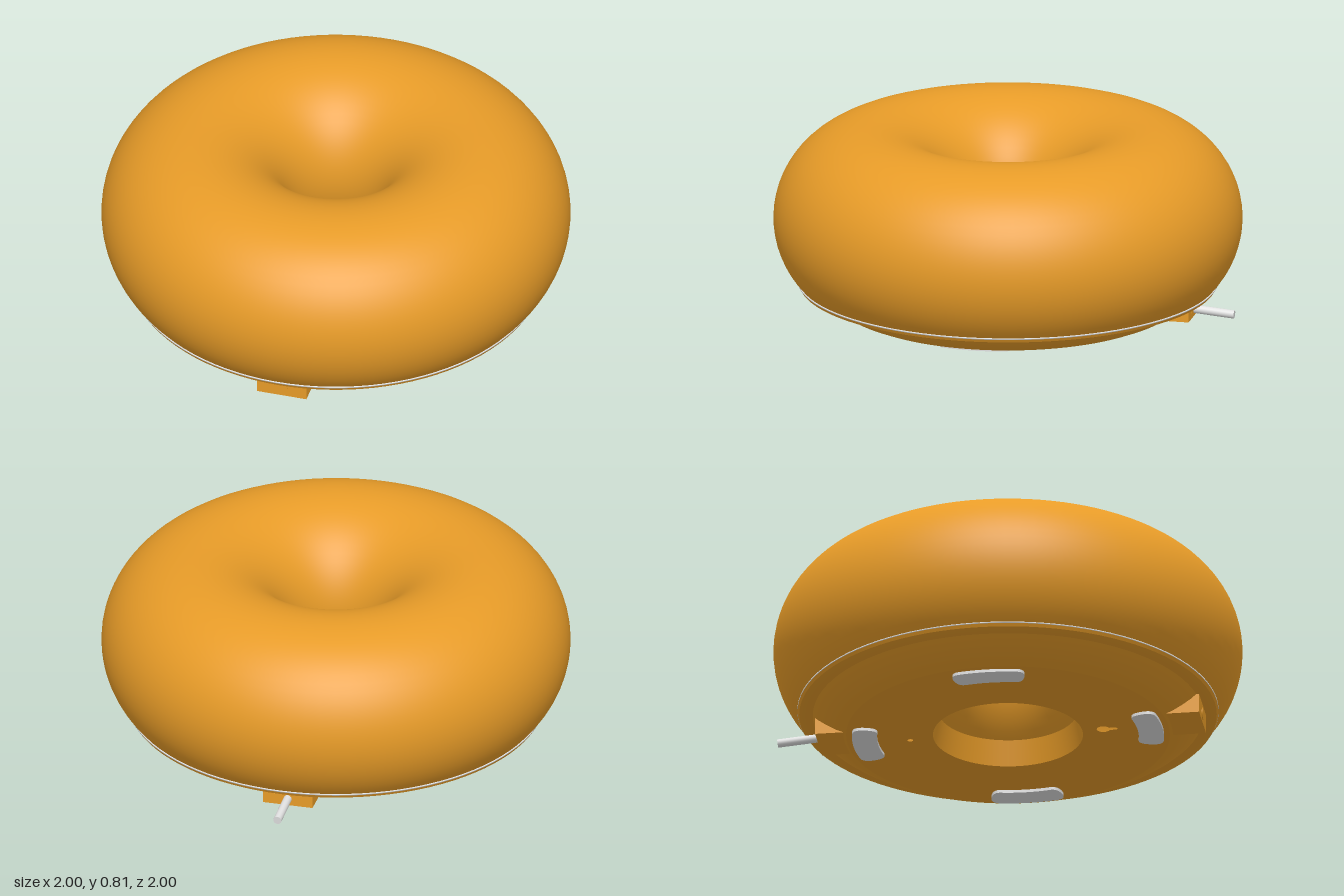
import * as THREE from 'three';
import { toCreasedNormals } from 'three/addons/utils/BufferGeometryUtils.js';

export function createModel() {
  const orange = new THREE.MeshStandardMaterial({ color: 0xe89c28, side: THREE.DoubleSide });
  orange.name = 'orange';
  const grey = new THREE.MeshStandardMaterial({ color: 0xe0e0e0 });
  grey.name = 'lightGrey';

  const model = new THREE.Group();
  model.name = 'ringLamp';
  const base = new THREE.Group();
  base.name = 'base';
  base.rotation.y = THREE.MathUtils.degToRad(4.4);
  model.add(base);

  const add = (parent, name, geometry, material, x = 0, y = 0, z = 0) => {
    const mesh = new THREE.Mesh(geometry, material);
    mesh.name = name;
    mesh.position.set(x, y, z);
    parent.add(mesh);
    return mesh;
  };
  const lathe = (points) =>
    new THREE.LatheGeometry(points.map(([x, y]) => new THREE.Vector2(x, y)), 96);

  // Ring shell: a round tube, open where it meets the base
  const R = 0.595, r = 0.405, cy = 0.4;
  const a0 = -Math.asin((cy - 0.125) / r);
  const shell = [];
  for (let i = 0; i <= 48; i++) {
    const a = a0 + (Math.PI - 2 * a0) * i / 48;
    shell.push([R + r * Math.cos(a), cy + r * Math.sin(a)]);
  }
  add(model, 'ringShell', lathe(shell), orange);

  // Thin seam between shell and base
  add(model, 'seam', lathe([[0.885, 0.121], [0.898, 0.121], [0.898, 0.127], [0.885, 0.129]]), grey);

  // Base: lip and curved underside outside, wall of the middle hole inside
  const floorY = 0.013;
  const outer = [[0.69, floorY], [0.73, 0.03], [0.775, 0.057], [0.81, 0.082], [0.832, 0.102],
    [0.87, 0.1], [0.89, 0.108], [0.897, 0.121]];
  add(base, 'baseRim', toCreasedNormals(lathe(outer), 0.5), orange);
  add(base, 'holeWall', lathe([[0.297, 0.125], [0.32, floorY]]), orange);

  // Flat underside with a keyhole in front and a small round hole at the back
  const floor = new THREE.Shape().absarc(0, 0, 0.69, 0, Math.PI * 2);
  const middle = new THREE.Path().absarc(0, 0, 0.32, 0, Math.PI * 2);
  const keyhole = new THREE.Path();
  keyhole.absarc(0, 0.41, 0.028, Math.PI / 2 + 0.4, Math.PI * 2.5 - 0.4);
  keyhole.absarc(0, 0.46, 0.011, 0, Math.PI);
  const vent = new THREE.Path().absarc(0, -0.42, 0.012, 0, Math.PI * 2);
  floor.holes.push(middle, keyhole, vent);
  const floorGeometry = new THREE.ShapeGeometry(floor, 48);
  floorGeometry.rotateX(Math.PI / 2);
  add(base, 'underside', floorGeometry, orange, 0, floorY, 0);

  // Four curved feet with rounded corners
  const at = (radius, a) => [radius * Math.cos(a), radius * Math.sin(a)];
  const r1 = 0.558, r2 = 0.665, half = 0.25, cut = 0.06;
  const pad = new THREE.Shape();
  pad.absarc(0, 0, r2, -half + cut, half - cut);
  pad.quadraticCurveTo(...at(r2, half), ...at((r1 + r2) / 2, half));
  pad.quadraticCurveTo(...at(r1, half), ...at(r1, half - cut));
  pad.absarc(0, 0, r1, half - cut, -half + cut, true);
  pad.quadraticCurveTo(...at(r1, -half), ...at((r1 + r2) / 2, -half));
  pad.quadraticCurveTo(...at(r2, -half), ...at(r2, -half + cut));
  const padGeometry = new THREE.ExtrudeGeometry(pad, { depth: 0.014, bevelEnabled: false, curveSegments: 10 });
  padGeometry.rotateX(Math.PI / 2);
  for (let i = 0; i < 4; i++) {
    add(base, 'foot', padGeometry, grey, 0, 0.014, 0).rotation.y = i * Math.PI / 2;
  }

  // Front block with its round button
  add(base, 'buttonBlock', new THREE.BoxGeometry(0.218, 0.084, 0.14), orange, 0, 0.06, 0.767);
  const button = new THREE.CylinderGeometry(0.027, 0.027, 0.004, 32);
  button.rotateX(Math.PI / 2);
  add(base, 'button', button, orange, 0, 0.058, 0.838);

  // Rear block with a small port and the cable
  add(base, 'cableBlock', new THREE.BoxGeometry(0.218, 0.084, 0.12), orange, 0, 0.06, -0.755);
  add(base, 'port', new THREE.BoxGeometry(0.012, 0.02, 0.004), orange, 0.055, 0.055, -0.816);
  const path = new THREE.LineCurve3(new THREE.Vector3(0, 0.05, -0.79), new THREE.Vector3(0, 0.034, -0.99));
  const cable = add(base, 'cable', new THREE.CylinderGeometry(0.018, 0.018, path.getLength(), 20), grey);
  cable.position.copy(path.getPoint(0.5));
  cable.quaternion.setFromUnitVectors(new THREE.Vector3(0, 1, 0), path.getTangent(0));

  return model;
}
